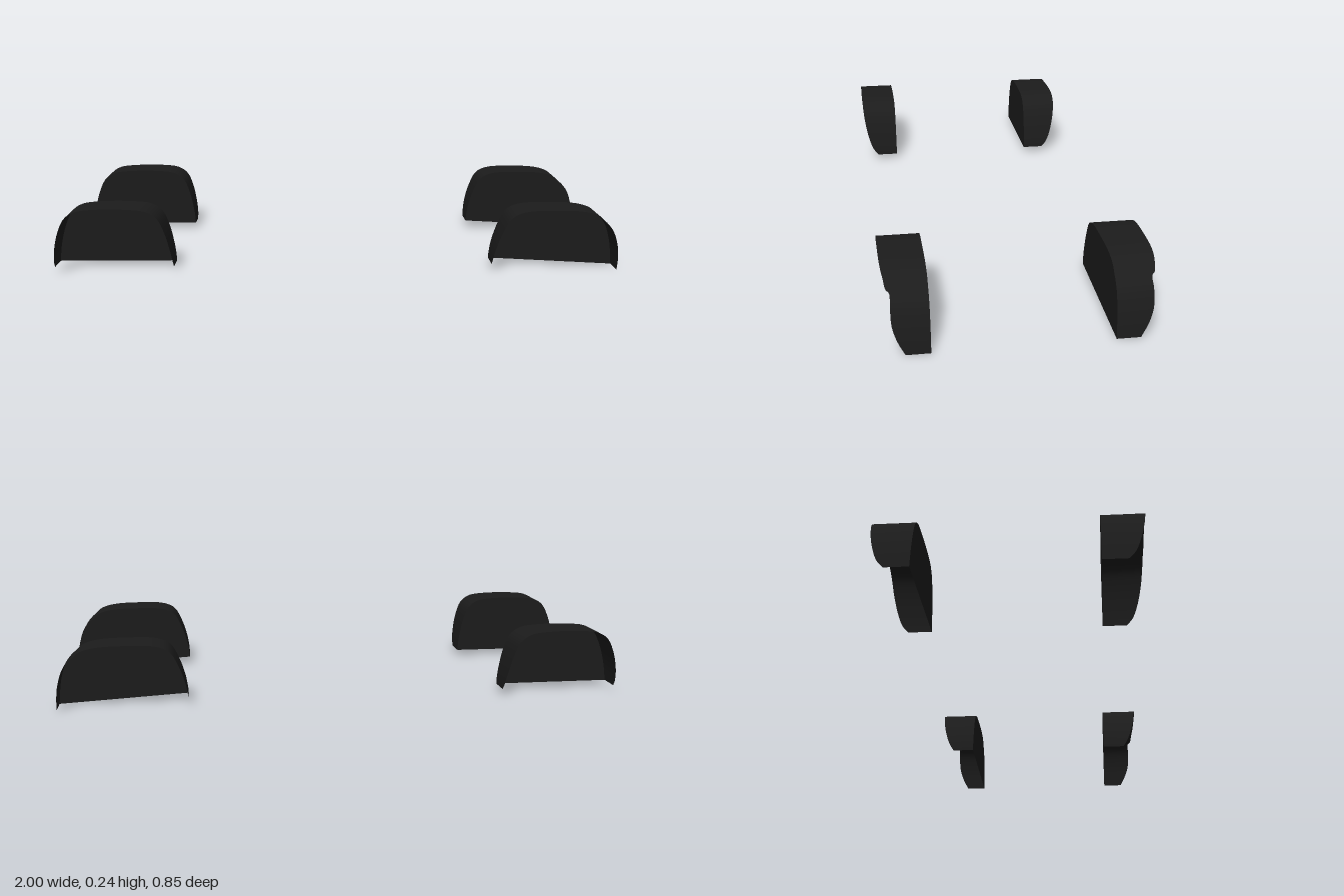
import * as THREE from 'three';

const WALL_Z = 0.285; // flat inboard wall of every liner
const material = new THREE.MeshStandardMaterial({ color: 0x1c1c1c, side: THREE.DoubleSide });

// Arch outlines: x, y, and z of the outboard edge at that point
const rearArch = [
  [-1.0, 0.02, 0.365], [-0.997, 0.045, 0.385], [-0.99, 0.09, 0.402], [-0.972, 0.155, 0.416],
  [-0.945, 0.208, 0.422], [-0.91, 0.231, 0.424], [-0.85, 0.24, 0.423], [-0.72, 0.24, 0.425],
  [-0.66, 0.231, 0.424], [-0.624, 0.205, 0.422], [-0.602, 0.155, 0.416], [-0.587, 0.09, 0.402],
  [-0.581, 0.045, 0.385], [-0.58, 0.02, 0.365],
];
const frontArch = [
  [0.55, 0.025, 0.37], [0.552, 0.05, 0.386], [0.56, 0.095, 0.403], [0.58, 0.155, 0.417],
  [0.608, 0.205, 0.424], [0.65, 0.226, 0.427], [0.75, 0.232, 0.427], [0.86, 0.227, 0.424],
  [0.91, 0.212, 0.418], [0.935, 0.19, 0.412], [0.945, 0.182, 0.402], [0.97, 0.15, 0.402],
  [0.988, 0.095, 0.4], [0.996, 0.045, 0.385], [1.0, 0.0, 0.362],
];

function makeLiner(name, outline) {
  const liner = new THREE.Group();
  liner.name = name;
  const curve = new THREE.CatmullRomCurve3(outline.map((p) => new THREE.Vector3(...p)));
  const edge = curve.getPoints(56);

  // Curved strip from the wall to the outboard edge
  const positions = [];
  const indices = [];
  edge.forEach((p, i) => {
    positions.push(p.x, p.y, WALL_Z, p.x, p.y, p.z);
    if (i > 0) {
      const a = 2 * (i - 1);
      indices.push(a, a + 1, a + 2, a + 1, a + 3, a + 2);
    }
  });
  const strip = new THREE.BufferGeometry();
  strip.setAttribute('position', new THREE.Float32BufferAttribute(positions, 3));
  strip.setIndex(indices);
  strip.computeVertexNormals();
  const arch = new THREE.Mesh(strip, material);
  arch.name = 'archSurface';

  // Flat inboard wall, open below and outboard
  const shape = new THREE.Shape(edge.map((p) => new THREE.Vector2(p.x, p.y)));
  const wall = new THREE.Mesh(new THREE.ShapeGeometry(shape), material);
  wall.name = 'innerWall';
  wall.position.z = WALL_Z;

  liner.add(arch, wall);
  return liner;
}

export function createModel() {
  const model = new THREE.Group();
  model.name = 'wheelArchLiners';
  // One pair of liners on each side, mirrored in z
  for (const side of [1, -1]) {
    const suffix = side > 0 ? 'PositiveZ' : 'NegativeZ';
    for (const [name, outline] of [['shortArchLiner', rearArch], ['longArchLiner', frontArch]]) {
      const liner = makeLiner(name + suffix, outline);
      liner.scale.z = side;
      model.add(liner);
    }
  }
  return model;
}
